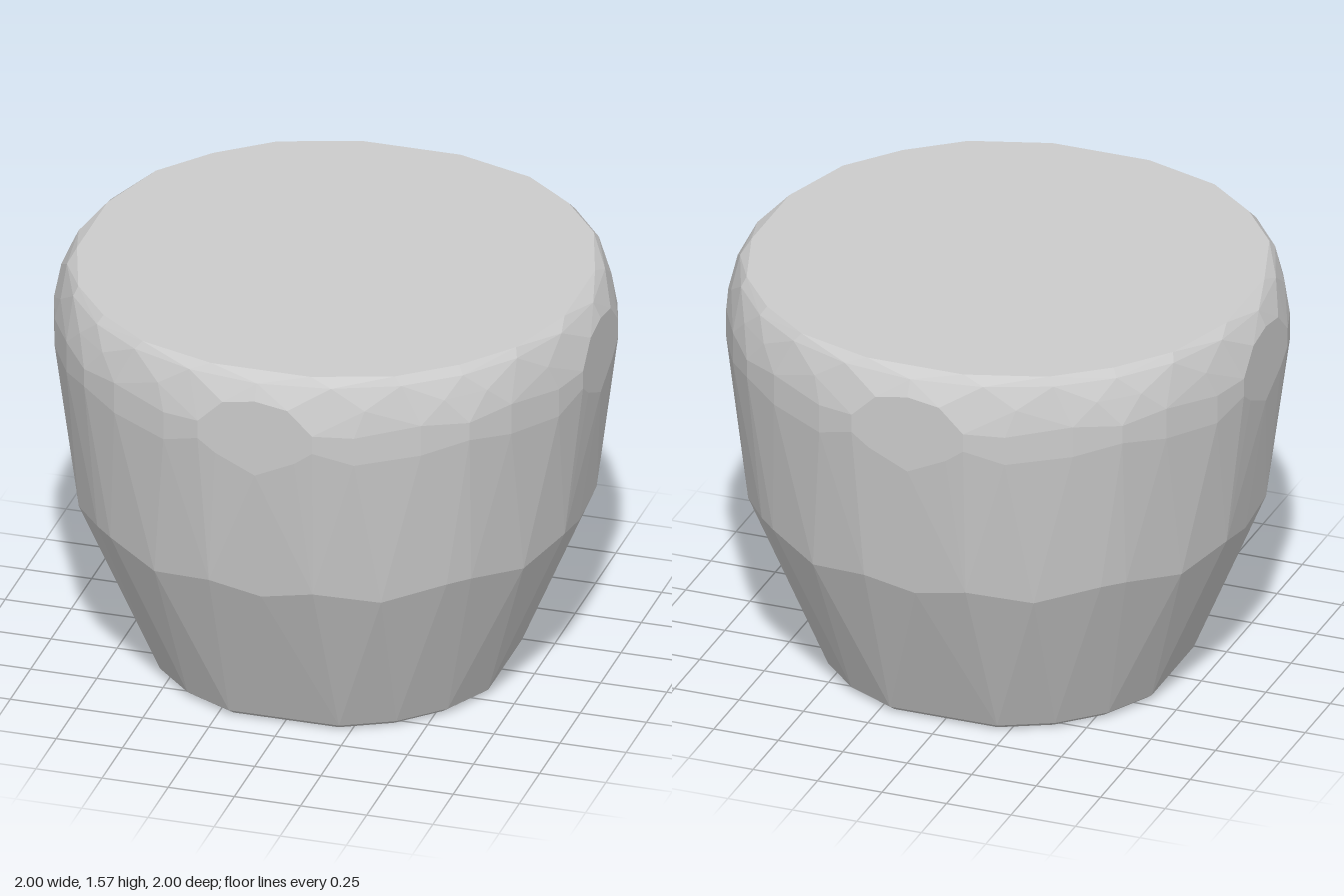
import * as THREE from 'three';
import { ConvexGeometry } from 'three/addons/geometries/ConvexGeometry.js';

// Control points for one eighth of the body: [angle in degrees, radius, height]
const EIGHTH = [
  // base and its small bevel
  [18, 0.645, 0], [36, 0.645, 0],
  [18, 0.672, 0.02], [36, 0.672, 0.02],
  // waist, where the lower taper meets the upper wall
  [0, 0.92, 0.65], [12, 0.945, 0.69], [27, 0.943, 0.65], [42, 0.95, 0.69],
  // flat facet on each axis
  [0, 1, 1.18], [8.5, 1.011, 1.25], [12.2, 1.023, 1.3],
  [12.2, 1.023, 1.37], [7, 1.0075, 1.46], [0, 1, 1.48],
  // widest band between the flat facets
  [20.7, 1.018, 1.25], [20.7, 1.018, 1.36],
  [34.6, 1.021, 1.27], [34.6, 1.021, 1.39],
  [45, 1.03, 1.3], [45, 1.03, 1.37],
  // rounded shoulder
  [23, 1.0, 1.46], [40, 1.005, 1.47],
  [0, 0.972, 1.54], [16, 0.972, 1.54], [31, 0.978, 1.54], [45, 0.978, 1.54],
  // flat top
  [11.5, 0.94, 1.57], [30, 0.955, 1.57], [45, 0.95, 1.57],
];

export function createModel() {
  const group = new THREE.Group();
  group.name = 'facetedTub';

  // Mirror and turn the control points around the axis
  const points = [];
  for (const [deg, r, y] of EIGHTH) {
    for (let quarter = 0; quarter < 4; quarter++) {
      const signs = deg === 0 || deg === 45 ? [1] : [1, -1];
      for (const s of signs) {
        const a = THREE.MathUtils.degToRad(quarter * 90 + s * deg);
        points.push(new THREE.Vector3(r * Math.sin(a), y, r * Math.cos(a)));
      }
    }
  }

  // Solid convex body with flat facets
  const body = new THREE.Mesh(
    new ConvexGeometry(points),
    new THREE.MeshStandardMaterial({ color: 0xcccccc, flatShading: true })
  );
  body.name = 'body';
  group.add(body);
  return group;
}
